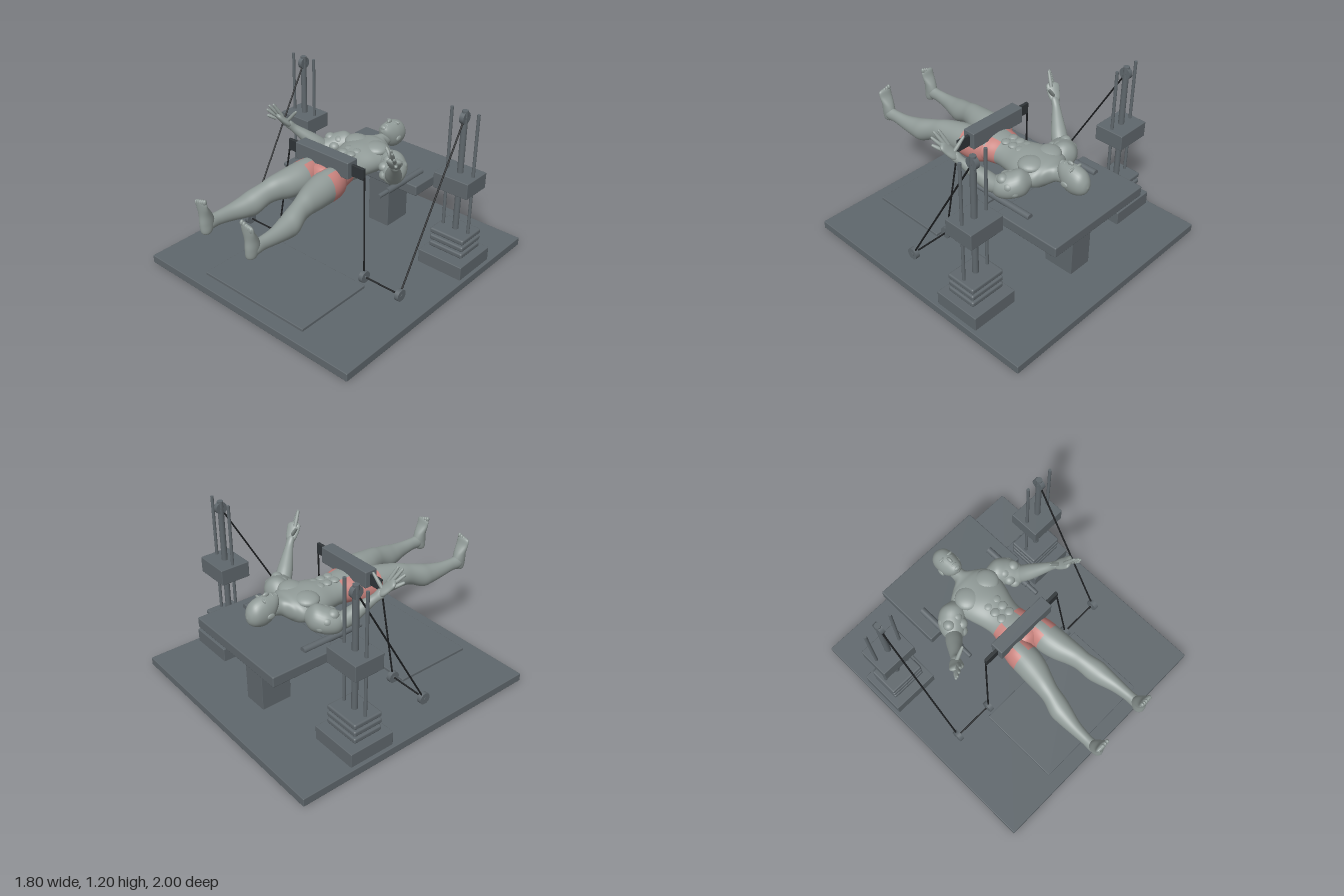
import * as THREE from 'three';
import { RoundedBoxGeometry } from 'three/addons/geometries/RoundedBoxGeometry.js';

const mat = (name, color) => Object.assign(new THREE.MeshStandardMaterial({ color }), { name });
const V = (x, y, z) => new THREE.Vector3(x, y, z);

export function createModel() {
  const model = new THREE.Group();
  model.name = 'hipThrustMachine';
  const steel = mat('steelGrey', 0x5f676c);
  const dark = mat('strapDark', 0x2f3437);
  const black = mat('cableBlack', 0x1c1e20);
  const skin = mat('figureGrey', 0x919b98);
  const pink = mat('muscleHighlight', 0xc9837e);

  const add = (name, geometry, material, parent = model) => {
    const m = new THREE.Mesh(geometry, material);
    m.name = name;
    parent.add(m);
    return m;
  };
  // Box given by its limits on each axis
  const box = (name, [x0, x1], [y0, y1], [z0, z1], material = steel, r = 0.005) => {
    const g = new RoundedBoxGeometry(x1 - x0, y1 - y0, z1 - z0, 2, r);
    g.translate((x0 + x1) / 2, (y0 + y1) / 2, (z0 + z1) / 2);
    return add(name, g, material);
  };
  // Round bar between two points
  const rod = (name, a, b, r, material = steel, sides = 20) => {
    const d = b.clone().sub(a);
    const m = add(name, new THREE.CylinderGeometry(r, r, d.length(), sides), material);
    m.position.copy(a).add(b).multiplyScalar(0.5);
    m.quaternion.setFromUnitVectors(V(0, 1, 0), d.normalize());
    return m;
  };
  const pulley = (x, y, z) => {
    rod('pulley', V(x - 0.016, y, z), V(x + 0.016, y, z), 0.042, steel, 32);
    rod('pulleyAxle', V(x - 0.02, y, z), V(x + 0.02, y, z), 0.012, steel, 16);
  };
  const blob = (name, x, y, z, rx, ry, rz) => {
    const m = add(name, new THREE.SphereGeometry(1, 24, 16), skin);
    m.position.set(x, y, z);
    m.scale.set(rx, ry, rz);
    return m;
  };
  // Smooth body from elliptical sections [x, y, z, rx, ry], stacked along axis
  const loft = (name, pts, axis, up, steps = 40, sides = 32, pick = null) => {
    const curve = (f) => new THREE.CatmullRomCurve3(pts.map(f), false, 'catmullrom', 0.5);
    const path = curve((p) => V(p[0], p[1], p[2]));
    const radii = curve((p) => V(p[3], p[4], 0));
    const side = up.clone().cross(axis).normalize();
    const top = axis.clone().normalize().cross(side);
    const verts = [], lists = [[], []];
    for (let i = 0; i <= steps; i++) {
      const c = path.getPoint(i / steps), r = radii.getPoint(i / steps);
      for (let j = 0; j < sides; j++) {
        const a = (j / sides) * Math.PI * 2;
        verts.push(c.clone().addScaledVector(side, Math.max(r.x, 0.0005) * Math.cos(a))
          .addScaledVector(top, Math.max(r.y, 0.0005) * Math.sin(a)));
      }
    }
    for (let i = 0; i < steps; i++) for (let j = 0; j < sides; j++) {
      const k = (j + 1) % sides;
      const [a, b, c, d] = [i * sides + j, i * sides + k, (i + 1) * sides + j, (i + 1) * sides + k];
      const mid = verts[a].clone().add(verts[d]).multiplyScalar(0.5);
      lists[pick && pick(mid) ? 1 : 0].push(a, b, c, b, d, c);
    }
    const g = new THREE.BufferGeometry().setFromPoints(verts);
    g.setIndex([...lists[0], ...lists[1]]);
    g.addGroup(0, lists[0].length, 0);
    g.addGroup(lists[0].length, lists[1].length, 1);
    g.computeVertexNormals();
    return add(name, g, pick ? [skin, pink] : skin);
  };
  // Highlighted hips and glutes: sides and underside, with patches on top
  const hipArea = ({ x, y, z }) => {
    if (z < -0.05 || z > 0.213) return false;
    if (y < 0.74) return true;
    const ax = Math.abs(x);
    return z < 0.04 ? ax > 0.06 : ax > 0.135 || (z > 0.13 && ax < 0.07);
  };

  // Floor, foot plate and bench
  box('basePlate', [-0.9, 0.9], [0, 0.06], [-1, 0.9]);
  box('footPlate', [-0.45, 0.45], [0.055, 0.08], [0.2, 0.8]);
  box('benchPedestal', [-0.09, 0.09], [0.05, 0.52], [-0.715, -0.49], steel, 0.003);
  box('benchTop', [-0.425, 0.425], [0.505, 0.58], [-0.85, -0.355], steel, 0.008);

  // Hip pad with its strap
  box('hipPad', [-0.23, 0.23], [0.765, 0.885], [0.035, 0.13], steel, 0.006);
  box('hipStrap', [-0.33, 0.33], [0.78, 0.862], [0.072, 0.094], dark, 0.003);

  // Weight towers, cables and handles on both sides
  for (const s of [-1, 1]) {
    const x = 0.7 * s;
    const wide = (w) => [x - w, x + w];
    box('towerBase', wide(0.174), [0.055, 0.16], [-0.62, -0.28]);
    for (const y of [0.18, 0.234, 0.287]) {
      box('weightPlate', wide(0.133), [y, y + 0.038], [-0.56, -0.34], steel, 0.012);
    }
    box('towerCarriage', wide(0.133), [0.643, 0.758], [-0.56, -0.34]);
    for (const dx of [-0.1, 0.1]) {
      rod('guideRod', V(x + dx, 0.15, -0.45), V(x + dx, 1.2, -0.45), 0.011);
    }
    rod('towerPost', V(x, 0.15, -0.45), V(x, 1.2, -0.45), 0.021);
    const stops = [V(x, 1.15, -0.45), V(x, 0.1, 0.15), V(0.4 * s, 0.1, 0.15), V(0.33 * s, 0.8, 0.083)];
    stops.slice(0, 3).forEach((p) => pulley(p.x, p.y, p.z));
    for (let i = 0; i < 3; i++) rod('cable', stops[i], stops[i + 1], 0.006, black, 10);
    rod('handleBar', V(0.32 * s, 0.585, -0.55), V(0.32 * s, 0.585, -0.08), 0.016);
    rod('handleGrip', V(0.32 * s, 0.587, -0.55), V(0.32 * s, 0.587, -0.17), 0.023);
  }

  // Lying figure: torso and head
  const Y = V(0, 1, 0), Z = V(0, 0, 1);
  loft('torso', [
    [0, 0.735, -0.55, 0.045, 0.05], [0, 0.725, -0.49, 0.055, 0.06], [0, 0.71, -0.45, 0.12, 0.075],
    [0, 0.7, -0.41, 0.17, 0.095], [0, 0.695, -0.33, 0.19, 0.105], [0, 0.695, -0.24, 0.17, 0.107],
    [0, 0.69, -0.14, 0.14, 0.1], [0, 0.69, -0.06, 0.13, 0.1], [0, 0.69, 0.02, 0.148, 0.107],
    [0, 0.69, 0.1, 0.165, 0.105], [0, 0.69, 0.16, 0.11, 0.09], [0, 0.69, 0.2, 0.01, 0.02],
  ], Z, Y, 100, 56, hipArea);
  loft('head', [
    [0, 0.735, -0.738, 0.001, 0.001], [0, 0.738, -0.725, 0.036, 0.046], [0, 0.745, -0.69, 0.066, 0.083],
    [0, 0.748, -0.63, 0.075, 0.101], [0, 0.758, -0.575, 0.068, 0.09], [0, 0.78, -0.535, 0.052, 0.063],
    [0, 0.795, -0.512, 0.032, 0.038], [0, 0.8, -0.5, 0.001, 0.001],
  ], Z, Y);
  blob('nose', 0, 0.853, -0.588, 0.012, 0.016, 0.024);
  blob('lips', 0, 0.838, -0.548, 0.022, 0.01, 0.009);
  blob('chin', 0, 0.824, -0.52, 0.024, 0.018, 0.016);
  for (const row of [0, 1, 2]) for (const s of [-1, 1]) {
    blob('abdominal', 0.034 * s, 0.782, -0.19 + row * 0.062, 0.034, 0.016, 0.032);
  }

  for (const s of [-1, 1]) {
    const flip = (pts) => pts.map(([x, ...rest]) => [x * s, ...rest]);
    blob('ear', 0.075 * s, 0.735, -0.605, 0.009, 0.02, 0.028);
    blob('brow', 0.03 * s, 0.838, -0.628, 0.026, 0.011, 0.009);
    blob('eye', 0.028 * s, 0.834, -0.61, 0.012, 0.008, 0.008);
    blob('chestMuscle', 0.085 * s, 0.765, -0.335, 0.088, 0.042, 0.085);

    // Leg and upright foot
    loft('leg', flip([
      [0.09, 0.69, 0.0, 0.005, 0.005], [0.095, 0.69, 0.06, 0.07, 0.09], [0.103, 0.695, 0.14, 0.094, 0.113],
      [0.106, 0.695, 0.24, 0.101, 0.11], [0.12, 0.692, 0.34, 0.092, 0.099], [0.14, 0.69, 0.43, 0.075, 0.085],
      [0.155, 0.675, 0.5, 0.066, 0.078], [0.175, 0.643, 0.59, 0.074, 0.085], [0.185, 0.635, 0.66, 0.065, 0.073],
      [0.198, 0.635, 0.76, 0.047, 0.056], [0.203, 0.64, 0.86, 0.037, 0.046], [0.205, 0.64, 0.94, 0.036, 0.045],
      [0.205, 0.64, 0.965, 0.003, 0.003],
    ]), Z, Y, 100, 40, hipArea);
    loft('foot', flip([
      [0.2, 0.572, 0.955, 0.003, 0.003], [0.2, 0.59, 0.955, 0.03, 0.036], [0.203, 0.65, 0.945, 0.039, 0.052],
      [0.203, 0.71, 0.95, 0.043, 0.042], [0.202, 0.77, 0.97, 0.05, 0.024], [0.202, 0.812, 0.978, 0.047, 0.015],
      [0.202, 0.825, 0.98, 0.003, 0.003],
    ]), Y, Z);
    for (let i = 0; i < 5; i++) {
      blob('toe', (0.163 + i * 0.019) * s, 0.822 - i * 0.006, 0.98, 0.012 - i * 0.0008, 0.019, 0.014);
    }

    // Bent arm with bulging shoulder
    loft('upperArm', flip([
      [0.13, 0.705, -0.4, 0.02, 0.02], [0.19, 0.7, -0.37, 0.08, 0.085], [0.25, 0.685, -0.325, 0.092, 0.088],
      [0.29, 0.67, -0.28, 0.085, 0.08], [0.32, 0.66, -0.235, 0.06, 0.06], [0.335, 0.655, -0.205, 0.003, 0.003],
    ]), V(0.205 * s, -0.05, 0.195), Y);
    for (let i = 0; i < 8; i++) {
      const a = i * 0.8 - 0.4, t = (i * 3 % 8) / 8;
      blob('armMuscle', (0.235 + 0.065 * t + 0.045 * Math.cos(a)) * s, 0.685 + 0.055 * Math.sin(a),
        -0.33 + 0.07 * t - 0.045 * Math.cos(a), 0.04, 0.035, 0.04);
    }
    loft('forearm', flip([
      [0.295, 0.64, -0.265, 0.01, 0.01], [0.315, 0.668, -0.24, 0.052, 0.052], [0.35, 0.715, -0.195, 0.057, 0.055],
      [0.395, 0.775, -0.14, 0.045, 0.043], [0.445, 0.84, -0.08, 0.03, 0.028], [0.47, 0.88, -0.045, 0.032, 0.024],
      [0.485, 0.905, -0.025, 0.003, 0.003],
    ]), V(0.15 * s, 0.2, 0.18), Z);
    loft('palm', flip([
      [0.455, 0.855, -0.065, 0.01, 0.01], [0.47, 0.88, -0.045, 0.036, 0.022], [0.492, 0.92, -0.01, 0.046, 0.022],
      [0.51, 0.955, 0.015, 0.044, 0.018], [0.52, 0.97, 0.025, 0.003, 0.003],
    ]), V(0.065 * s, 0.115, 0.09), V(0.3 * s, -0.5, 0.6));
    const fingers = [
      [[0.48, 0.95, 0.0], [0.51, 1.05, 0.055]], [[0.5, 0.955, 0.01], [0.535, 1.04, 0.072]],
      [[0.515, 0.945, 0.015], [0.555, 1.005, 0.075]], [[0.525, 0.925, 0.015], [0.562, 0.955, 0.065]],
      [[0.47, 0.9, -0.035], [0.39, 0.995, -0.05]],
    ];
    for (const [a, b] of fingers) {
      const p = V(...a), q = V(...b);
      p.x *= s;
      q.x *= s;
      const ring = (t, r) => [...p.clone().lerp(q, t).toArray(), r, r];
      loft('finger', [ring(0, 0.012), ring(0.35, 0.013), ring(0.7, 0.011), ring(0.94, 0.008), ring(1, 0.001)],
        q.clone().sub(p), Z, 16, 12);
    }
  }
  return model;
}
